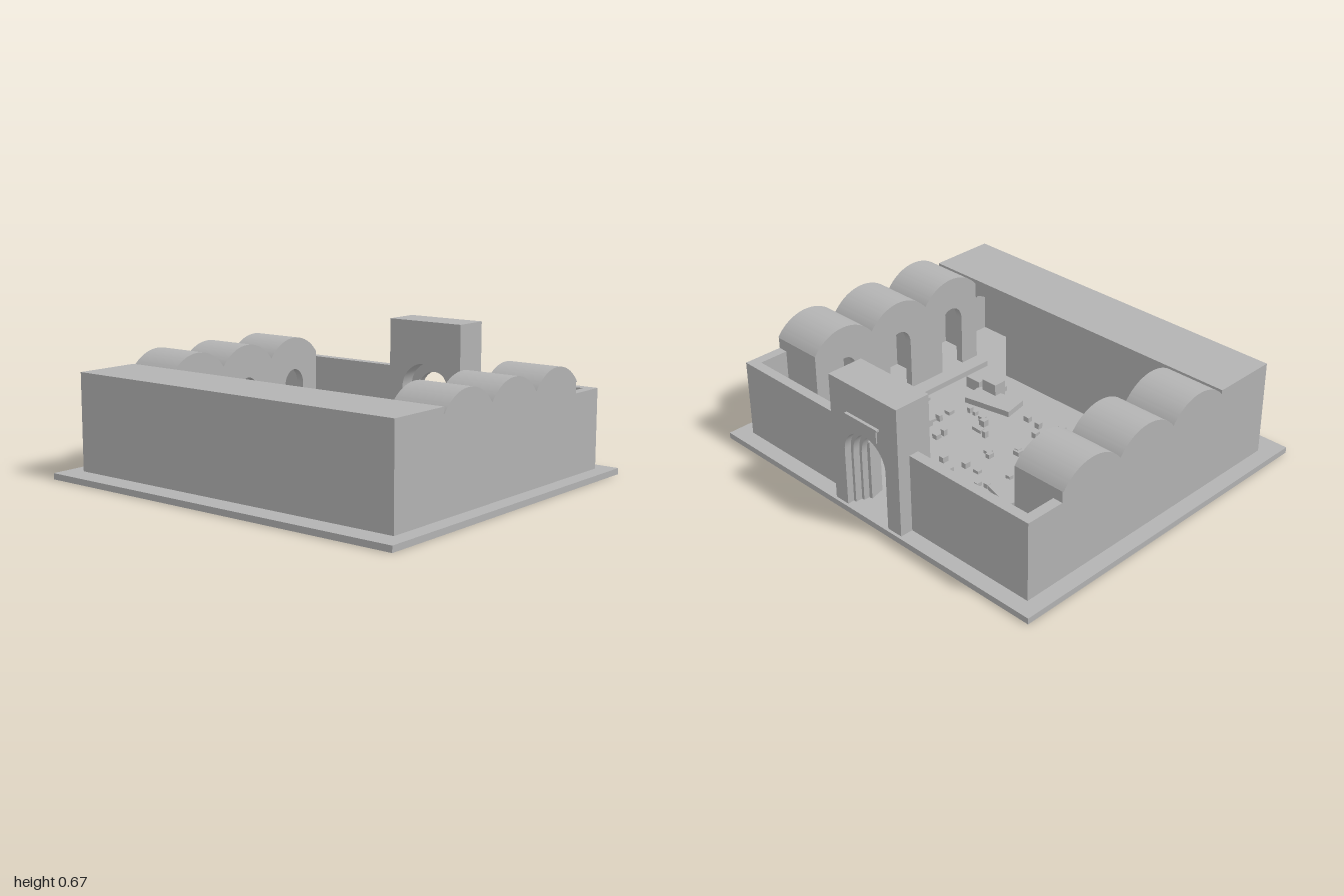
import * as THREE from 'three';
import { toCreasedNormals } from 'three/addons/utils/BufferGeometryUtils.js';

const stone = new THREE.MeshStandardMaterial({ color: 0xb3b3b3 });
stone.name = 'stone grey';

const FLOOR = 0.03;

export function createModel() {
  const model = new THREE.Group();
  model.name = 'courtyardBuilding';

  const add = (name, geo, x = 0, y = 0, z = 0, ry = 0) => {
    const m = new THREE.Mesh(geo, stone);
    m.name = name;
    m.position.set(x, y, z);
    m.rotation.y = ry;
    model.add(m);
    return m;
  };
  // box given by its min and max corners
  const span = (name, x0, x1, y0, y1, z0, z1) =>
    add(name, new THREE.BoxGeometry(x1 - x0, y1 - y0, z1 - z0), (x0 + x1) / 2, (y0 + y1) / 2, (z0 + z1) / 2);
  // box standing on height y
  const block = (name, x, z, w, h, d, ry = 0, y = FLOOR) =>
    add(name, new THREE.BoxGeometry(w, h, d), x, y + h / 2, z, ry);
  // upright wall pierced by arches [centre, half width, springing, apex]
  const archWall = (x0, x1, h, depth, arches) => {
    const s = new THREE.Shape();
    s.moveTo(x0, 0);
    for (const [c, r, spring, apex] of arches) {
      s.lineTo(c - r, 0);
      s.lineTo(c - r, spring);
      s.absellipse(c, spring, r, apex - spring, Math.PI, 0, true);
      s.lineTo(c + r, 0);
    }
    s.lineTo(x1, 0);
    s.lineTo(x1, h);
    s.lineTo(x0, h);
    const g = new THREE.ExtrudeGeometry(s, { depth, bevelEnabled: false, curveSegments: 16 });
    return toCreasedNormals(g, 0.5);
  };

  // base slab
  span('baseSlab', -1, 1, 0, FLOOR, -0.89, 0.89);

  // front hall, hollow behind two corner arches
  const top = 0.505;
  add('hallFacade', archWall(-0.92, 0.92, top - FLOOR, 0.04,
    [[-0.57, 0.14, 0.27, 0.4], [0.57, 0.14, 0.27, 0.4]]), 0, FLOOR, 0.44);
  span('hallOuterWall', -0.92, 0.92, FLOOR, top, 0.735, 0.775);
  span('hallRoof', -0.92, 0.92, top - 0.03, top, 0.44, 0.775);
  for (const s of [-1, 1]) block('hallEndWall', s * 0.9, 0.6075, 0.04, top - FLOOR, 0.335);

  // side cells with barrel vaults
  const z0 = -0.61, z1 = 0.445, cell = (z1 - z0) / 3, wallTop = 0.475;
  const centres = [0, 1, 2].map(i => z0 + cell * (i + 0.5));
  const rise = 0.09, half = cell / 2;
  const radius = (half * half + rise * rise) / (2 * rise);
  const a = Math.asin(half / radius);
  const arc = new THREE.Shape();
  arc.absarc(0, rise - radius, radius, Math.PI / 2 - a, Math.PI / 2 + a, false);
  arc.closePath();
  const vaultGeo = toCreasedNormals(
    new THREE.ExtrudeGeometry(arc, { depth: 0.275, bevelEnabled: false, curveSegments: 24 }), 0.5);
  const cellFacade = archWall(z0, z1, wallTop - FLOOR, 0.04,
    centres.map(c => [c, 0.07, 0.29, 0.37]));

  for (const s of [-1, 1]) {
    add('cellFacade', cellFacade, s * 0.67 + 0.02, FLOOR, 0, -Math.PI / 2);
    block('cellOuterWall', s * 0.9, (z0 + z1) / 2, 0.04, wallTop - FLOOR, z1 - z0);
    block('cellTerrace', s * 0.745, (z0 + z1) / 2, 0.35, 0.03, z1 - z0);
    block('terraceStep', s * 0.55, -0.09, 0.04, 0.015, 0.18);
    for (let i = 0; i < 3; i++) {
      block('cellPartition', s * 0.785, z0 + cell * i + 0.02, 0.26, wallTop - FLOOR, 0.04);
      add('barrelVault', vaultGeo, s * 0.7875 + 0.1375, wallTop, centres[i], -Math.PI / 2);
    }
    // low rear yard walls
    block('rearSideWall', s * 0.895, -0.71, 0.05, 0.39, 0.2);
    span('rearWall', s < 0 ? -0.92 : 0.2, s < 0 ? -0.2 : 0.92, FLOOR, 0.42, -0.81, -0.76);
  }

  // gatehouse with stepped arch
  const slices = [[-0.875, 0.035, 0.135, 0.42], [-0.84, 0.035, 0.12, 0.4],
    [-0.805, 0.035, 0.105, 0.38], [-0.77, 0.08, 0.14, 0.43]];
  for (const [z, d, r, apex] of slices)
    add('gateArch', archWall(-0.22, 0.215, 0.645, d, [[0, r, apex - 0.13, apex]]), 0, FLOOR, z);
  for (const s of [-1, 1]) block('gateDoorLeaf', s * 0.105, -0.735, 0.015, 0.3, 0.08, s * 0.25);
  span('gatePanel', -0.09, 0.09, 0.455, 0.525, -0.882, -0.873);
  span('gatePanelLip', -0.105, 0.105, 0.52, 0.53, -0.89, -0.873);

  // courtyard furniture
  block('crate', -0.405, -0.47, 0.095, 0.07, 0.075);
  block('slab', -0.33, -0.325, 0.18, 0.02, 0.11, -0.27);
  block('beam', -0.405, -0.615, 0.21, 0.025, 0.015, 0.25);
  block('platform', 0.275, 0.195, 0.26, 0.03, 0.13, 0.2);
  block('crate', 0.335, 0.255, 0.09, 0.09, 0.07);
  block('crate', 0.45, 0.255, 0.09, 0.06, 0.07);
  block('troughBase', -0.43, 0.045, 0.22, 0.02, 0.085);
  for (const s of [-1, 1]) {
    block('troughSide', -0.43, 0.045 + s * 0.035, 0.22, 0.06, 0.016);
    block('troughEnd', -0.43 + s * 0.098, 0.045, 0.024, 0.06, 0.07);
  }
  const jar = [[0, 0], [0.03, 0], [0.05, 0.04], [0.045, 0.075], [0.02, 0.1], [0.025, 0.12], [0.012, 0.12], [0, 0.09]]
    .map(p => new THREE.Vector2(...p));
  add('jar', new THREE.LatheGeometry(jar, 20), 0.425, FLOOR, -0.455);

  // scattered stones, x and z in pairs
  let seed = 7;
  const rnd = () => (seed = (seed * 16807) % 2147483647) / 2147483647;
  const stones = [
    -0.08, -0.64, -0.28, -0.575, -0.21, -0.585, -0.24, -0.52, -0.06, -0.54, -0.04, -0.51, 0, -0.48,
    -0.27, -0.46, -0.27, -0.405, -0.1, -0.435, 0, -0.375, 0.035, -0.405, 0.095, -0.405, 0.08, -0.335,
    -0.18, -0.365, -0.22, -0.345, -0.1, -0.29, -0.03, -0.295, -0.24, -0.22, -0.38, -0.14, -0.32, -0.125,
    -0.25, -0.09, -0.21, -0.055, -0.22, -0.115, -0.13, -0.05, -0.12, -0.04, -0.05, -0.16, -0.02, -0.14,
    -0.4, -0.06, 0.09, -0.05, 0.14, -0.035, 0.17, -0.03, 0.17, 0.02, 0.2, 0.04, 0.27, 0.06,
    0.305, 0.06, 0.25, -0.22, 0.245, -0.175, 0.36, -0.165, 0.38, -0.13, 0.36, -0.1, 0.37, -0.02,
    0.43, -0.25, 0.455, -0.315, 0.345, -0.47, 0.36, -0.565, -0.16, 0.065, -0.14, 0.08, -0.2, 0.1,
    -0.18, 0.125, -0.085, 0.12, -0.35, 0.135, 0.045, 0.2, -0.035, 0.19, -0.14, 0.25, -0.32, 0.245,
    -0.23, 0.265, -0.225, 0.335, 0.335, 0.32];
  for (let i = 0; i < stones.length; i += 2)
    block('scatteredStone', stones[i], stones[i + 1], 0.02 + rnd() * 0.015, 0.015 + rnd() * 0.02, 0.02 + rnd() * 0.015);

  // rubble heap along one terrace
  for (let i = 0; i < 40; i++)
    block('rubble', -0.645 + rnd() * 0.06, -0.58 + rnd() * 0.27, 0.03, 0.02 + rnd() * 0.035, 0.03, rnd() * 0.4, 0.055);

  return model;
}
